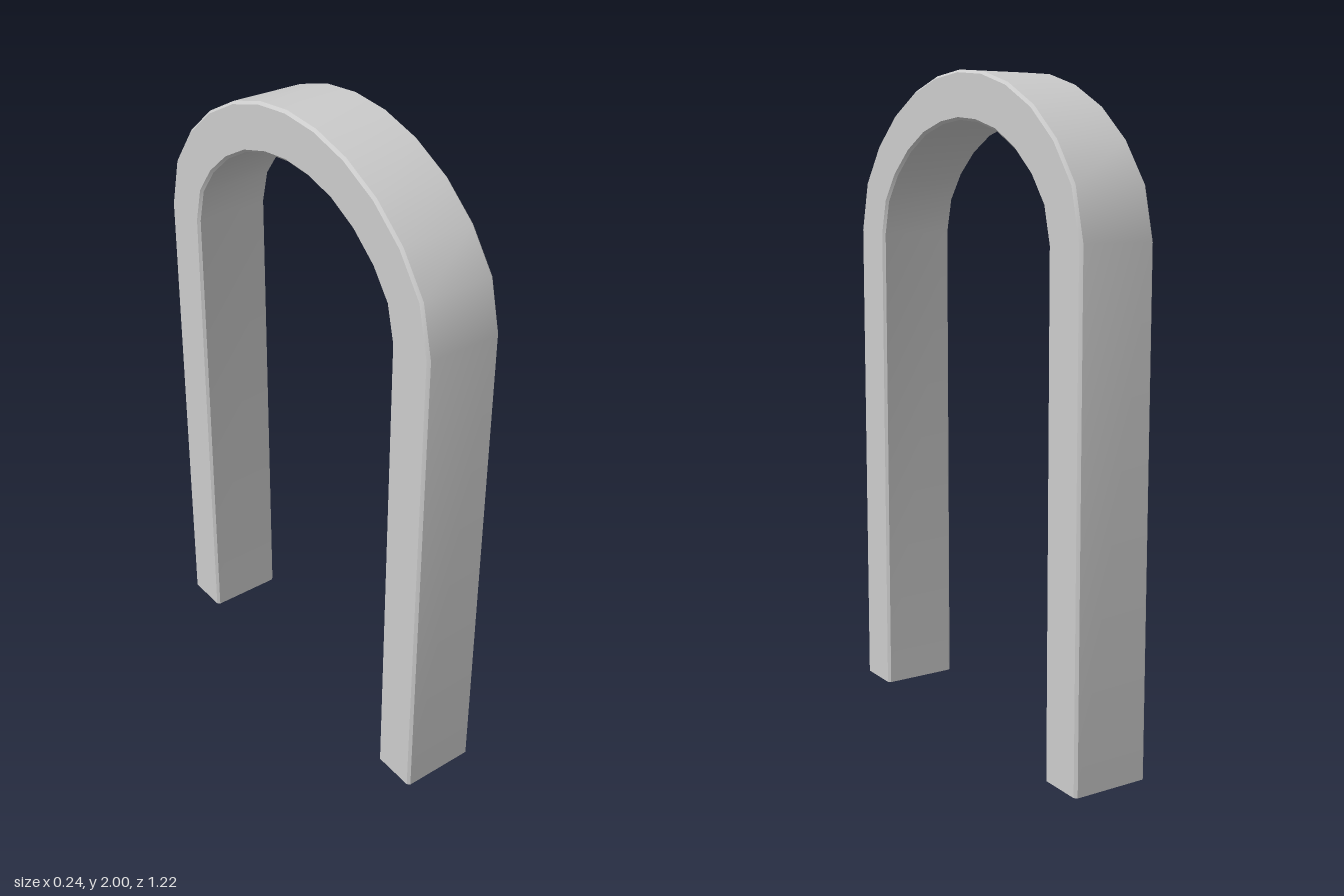
import * as THREE from 'three';
import { toCreasedNormals } from 'three/addons/utils/BufferGeometryUtils.js';

const HALF_WIDTH = 0.122;
const BEVEL = 0.008;

// Half of the arch, foot to crown: [outer z, outer y, inner z, inner y]
const half = [
  [0.61, 0, 0.462, 0],
  [0.61, 1.522, 0.462, 1.512],
  [0.573, 1.675, 0.436, 1.617],
  [0.488, 1.793, 0.376, 1.698],
  [0.38, 1.885, 0.292, 1.769],
  [0.254, 1.951, 0.197, 1.82],
  [0.127, 1.988, 0.095, 1.848],
  [0, 2, 0, 1.857],
];

// Bevelled rectangular section, counterclockwise: [side x, distance from outer to inner face]
function section(thickness) {
  const w = HALF_WIDTH, b = BEVEL, t = thickness;
  return [
    [-w + b, 0], [w - b, 0], [w, b], [w, t - b],
    [w - b, t], [-w + b, t], [-w, t - b], [-w, b],
  ];
}

function archGeometry() {
  // Mirror the front half over the crown to get the back leg
  const back = half.slice(0, -1).reverse().map(([oz, oy, iz, iy]) => [-oz, oy, -iz, iy]);
  const stations = [...half, ...back];
  const positions = [];
  const index = [];
  for (const [oz, oy, iz, iy] of stations) {
    const thickness = Math.hypot(iz - oz, iy - oy);
    for (const [x, d] of section(thickness)) {
      const k = d / thickness;
      positions.push(x, oy + (iy - oy) * k, oz + (iz - oz) * k);
    }
  }
  const n = 8;
  const last = (stations.length - 1) * n;
  // Skin between neighbouring sections
  for (let s = 0; s < last; s += n) {
    for (let i = 0; i < n; i++) {
      const a = s + i, b = s + (i + 1) % n;
      index.push(a, b, b + n, a, b + n, a + n);
    }
  }
  // Flat feet
  for (let i = 1; i < n - 1; i++) {
    index.push(0, i + 1, i);
    index.push(last, last + i, last + i + 1);
  }
  const geometry = new THREE.BufferGeometry();
  geometry.setAttribute('position', new THREE.Float32BufferAttribute(positions, 3));
  geometry.setIndex(index);
  return toCreasedNormals(geometry, 0.5);
}

export function createModel() {
  const model = new THREE.Group();
  model.name = 'archModel';
  const arch = new THREE.Mesh(archGeometry(), new THREE.MeshStandardMaterial({ color: 0xcccccc }));
  arch.name = 'arch';
  model.add(arch);
  return model;
}
